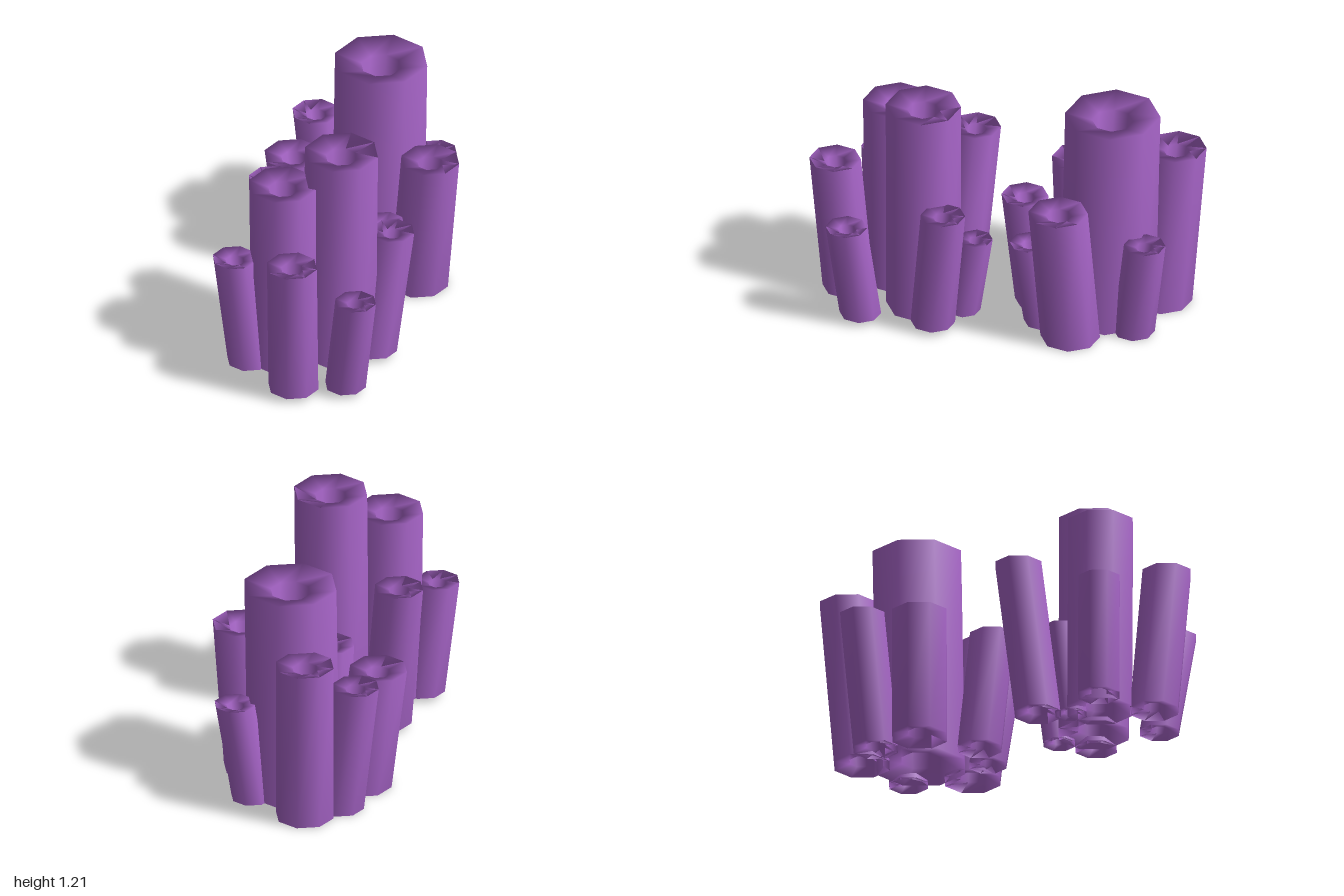
import * as THREE from 'three';

const SIDES = 8;

// Hollow leaning tube: four shared rings (outer/inner, bottom/top) closed into a loop,
// with the rim sinking slightly toward the bore at both ends.
function tubeGeometry(r, base, top, phase) {
  const bore = r * 0.43, sink = r * 0.15;
  const y0 = base[1], y1 = top[1];
  const profile = [[r, y0], [r, y1], [bore, y1 - sink], [bore, y0 + sink]];
  const position = [], index = [];
  for (const [radius, y] of profile) {
    const t = (y - y0) / (y1 - y0);
    const cx = THREE.MathUtils.lerp(base[0], top[0], t);
    const cz = THREE.MathUtils.lerp(base[2], top[2], t);
    for (let j = 0; j < SIDES; j++) {
      const a = phase + (j / SIDES) * Math.PI * 2;
      position.push(cx + radius * Math.cos(a), y, cz + radius * Math.sin(a));
    }
  }
  for (let i = 0; i < 4; i++) {
    for (let j = 0; j < SIDES; j++) {
      const n = (j + 1) % SIDES, k = ((i + 1) % 4) * SIDES;
      const a = i * SIDES + j, b = k + j, c = k + n, d = i * SIDES + n;
      index.push(a, b, d, b, c, d);
    }
  }
  const geometry = new THREE.BufferGeometry();
  geometry.setAttribute('position', new THREE.Float32BufferAttribute(position, 3));
  geometry.setIndex(index);
  geometry.computeVertexNormals();
  return geometry;
}

// Each tube: radius, height, top x, top z, base x, base z
const FRONT = [
  [0.19, 1.205, 0.09, 0.41, 0.08, 0.41],
  [0.175, 1.06, -0.175, 0.56, -0.165, 0.55],
  [0.13, 0.785, -0.045, 0.865, -0.055, 0.8],
  [0.105, 0.575, 0.265, 0.785, 0.195, 0.72],
  [0.112, 0.643, -0.402, 0.65, -0.335, 0.62],
  [0.112, 0.705, 0.325, 0.293, 0.25, 0.35],
  [0.085, 0.46, 0.14, 0.142, 0.12, 0.205],
  [0.125, 0.835, -0.33, 0.177, -0.25, 0.25],
  [0.085, 0.5, -0.23, 0.365, -0.18, 0.4],
];
const BACK = [
  [0.24, 1.165, 0.04, -0.54, 0.03, -0.515],
  [0.15, 0.89, -0.12, -0.85, -0.1, -0.78],
  [0.12, 0.71, -0.337, -0.675, -0.25, -0.64],
  [0.105, 0.55, 0.28, -0.72, 0.21, -0.66],
  [0.15, 0.775, 0.363, -0.29, 0.29, -0.345],
  [0.1, 0.47, 0.17, -0.13, 0.15, -0.2],
  [0.118, 0.613, -0.05, -0.09, -0.05, -0.158],
  [0.148, 0.65, -0.367, -0.35, -0.295, -0.38],
];

export function createModel() {
  const purple = new THREE.MeshStandardMaterial({ name: 'coralPurple', color: 0xa865c9 });
  const model = new THREE.Group();
  model.name = 'tubeCoral';

  const addCluster = (name, tubes, floor) => {
    const cluster = new THREE.Group();
    cluster.name = name;
    tubes.forEach(([r, height, tx, tz, bx, bz], i) => {
      const geometry = tubeGeometry(r, [bx, floor, bz], [tx, height, tz], 0);
      const tube = new THREE.Mesh(geometry, purple);
      tube.name = i === 0 ? 'mainTube' : 'sideTube' + i;
      cluster.add(tube);
    });
    model.add(cluster);
  };

  addCluster('frontCluster', FRONT, 0.03);
  addCluster('backCluster', BACK, 0);
  return model;
}
